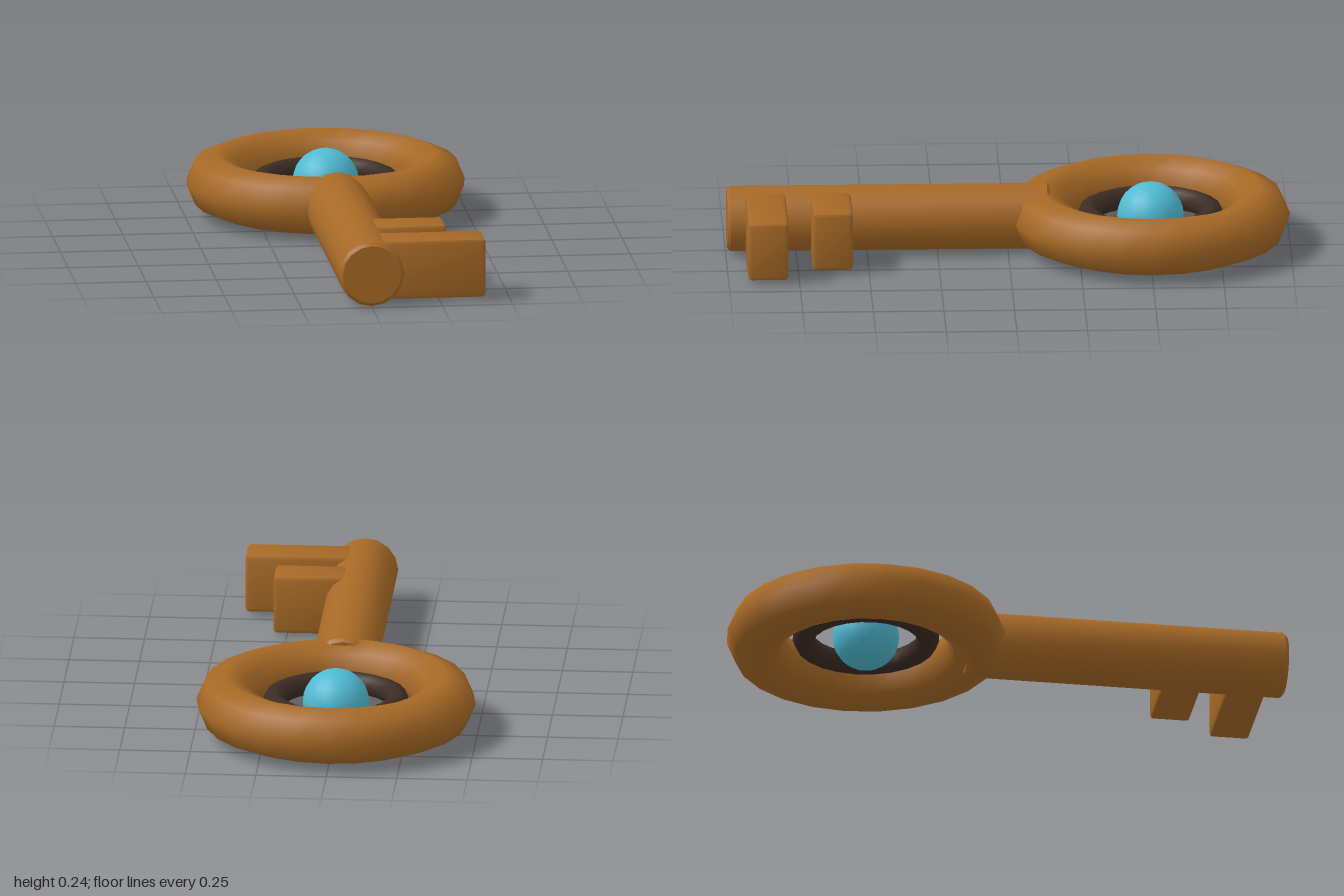
import * as THREE from 'three';
import { toCreasedNormals } from 'three/addons/utils/BufferGeometryUtils.js';
import { RoundedBoxGeometry } from 'three/addons/geometries/RoundedBoxGeometry.js';

const MID_Y = 0.122;   // height of the key's centre plane
const BOW_Z = -0.505;  // centre of the ring handle

export function createModel() {
  const bronze = new THREE.MeshStandardMaterial({ color: 0xa66926 });
  bronze.name = 'bronze';
  const darkIron = new THREE.MeshStandardMaterial({ color: 0x3c2c24 });
  darkIron.name = 'dark iron';
  const gemBlue = new THREE.MeshStandardMaterial({ color: 0x4fbad2 });
  gemBlue.name = 'gem blue';

  const key = new THREE.Group();
  key.name = 'key';

  const add = (name, geometry, material, x, z) => {
    const mesh = new THREE.Mesh(geometry, material);
    mesh.name = name;
    mesh.position.set(x, MID_Y, z);
    key.add(mesh);
    return mesh;
  };

  // Handle: outer ring, inner ring and the gem in the middle
  const ring = (radius, tube, sides, steps) =>
    new THREE.TorusGeometry(radius, tube, sides, steps).rotateX(Math.PI / 2);
  add('outerRing', ring(0.391, 0.104, 8, 24), bronze, 0, BOW_Z);
  add('innerRing', ring(0.22, 0.041, 8, 24), darkIron, 0, BOW_Z);
  add('gem', new THREE.SphereGeometry(0.118, 20, 14), gemBlue, 0, BOW_Z);

  // Shaft: a cylinder with small bevels at both ends
  const back = -0.15, front = 0.995, r = 0.116, bevel = 0.012;
  const profile = [
    [0, back], [r - bevel, back], [r, back + bevel],
    [r, front - bevel], [r - bevel, front], [0, front],
  ].map(([x, y]) => new THREE.Vector2(x, y));
  const shaft = new THREE.LatheGeometry(profile, 16).rotateX(Math.PI / 2);
  add('shaft', toCreasedNormals(shaft, 0.5), bronze, 0, 0);

  // Two bevelled teeth on the left side of the shaft
  const inner = 0.04;
  for (const [name, outer, z] of [['shortTooth', 0.297, 0.629], ['longTooth', 0.412, 0.86]]) {
    const tooth = new RoundedBoxGeometry(outer - inner, 0.212, 0.142, 1, 0.013);
    add(name, toCreasedNormals(tooth, 0.5), bronze, (inner + outer) / 2, z);
  }

  return key;
}
